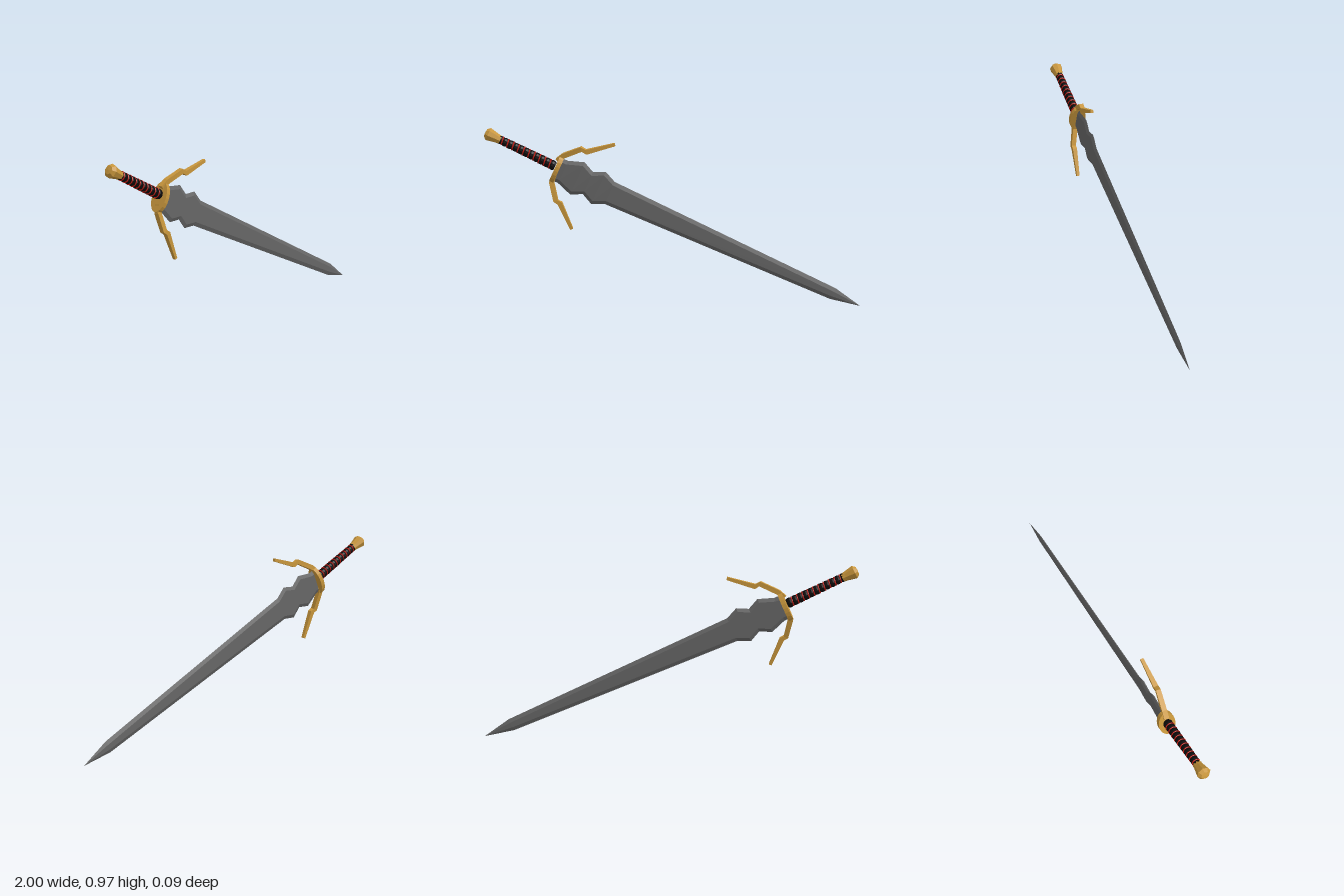
import * as THREE from 'three';

const mat = (color) => new THREE.MeshStandardMaterial({ color, flatShading: true, roughness: 0.7, side: THREE.DoubleSide });
const gold = mat(0xc8963c), steel = mat(0x666666), black = mat(0x0c0a0a), red = mat(0xc01c14);

function add(parent, name, geometry, material) {
  const mesh = new THREE.Mesh(geometry, material);
  mesh.name = name;
  parent.add(mesh);
  return mesh;
}

// Skin a list of equal-sized rings of Vector3 and cap both ends.
function loft(rings) {
  const n = rings[0].length, pos = rings.flat().flatMap((p) => [p.x, p.y, p.z]), idx = [];
  for (let i = 0; i < rings.length - 1; i++)
    for (let j = 0; j < n; j++) {
      const a = i * n + j, b = i * n + (j + 1) % n;
      idx.push(a, b, a + n, b, b + n, a + n);
    }
  const last = (rings.length - 1) * n;
  for (let j = 1; j < n - 1; j++) idx.push(0, j + 1, j, last, last + j, last + j + 1);
  const g = new THREE.BufferGeometry();
  g.setAttribute('position', new THREE.Float32BufferAttribute(pos, 3));
  g.setIndex(idx);
  const flat = g.toNonIndexed();
  flat.computeVertexNormals();
  return flat;
}

// Six-sided blade section: flat faces with a bevel toward each edge.
function bladeRing([u, w]) {
  const inner = Math.max(w - 0.02, 0), t = w > 0 ? 0.009 : 0;
  return [[w, 0], [inner, t], [-inner, t], [-w, 0], [-inner, -t], [inner, -t]]
    .map(([v, z]) => new THREE.Vector3(u, v, z));
}

// Tapered square bar following a bent path.
function bar(points, widths) {
  const p = points.map((q) => new THREE.Vector3(...q));
  return loft(p.map((c, i) => {
    const d = p[Math.min(i + 1, p.length - 1)].clone().sub(p[Math.max(i - 1, 0)]).normalize();
    const side = new THREE.Vector3(-d.y, d.x, 0).normalize();
    const up = d.clone().cross(side), h = widths[i] / 2;
    return [[1, 1], [-1, 1], [-1, -1], [1, -1]].map(([a, b]) =>
      c.clone().addScaledVector(side, a * h).addScaledVector(up, b * h));
  }));
}

export function createModel() {
  const model = new THREE.Group();
  model.name = 'sword';

  // Blade and guard share a frame with +x toward the tip
  const bladeGroup = new THREE.Group();
  bladeGroup.name = 'bladeAndGuard';
  bladeGroup.position.set(-0.625, 0.752, 0);
  bladeGroup.rotation.set(0, -0.0134, -0.4335, 'ZYX');
  model.add(bladeGroup);

  const stations = [[0, 0.067], [0.035, 0.067], [0.118, 0.097], [0.18, 0.067], [0.24, 0.097],
    [0.305, 0.067], [1.625, 0.034], [1.79, 0]];
  add(bladeGroup, 'blade', loft(stations.map(bladeRing)), steel);

  const disc = new THREE.CylinderGeometry(1, 1, 0.024, 20).rotateZ(Math.PI / 2).scale(1, 0.079, 0.045);
  add(bladeGroup, 'guardDisc', disc, gold);

  // Kinked guard arms
  const arms = new THREE.Group();
  arms.name = 'guardArms';
  model.add(arms);
  const w = [0.026, 0.026, 0.025, 0.025, 0.016];
  add(arms, 'upperArm', bar([[-0.62, 0.8, 0], [-0.585, 0.828, 0.006], [-0.49, 0.868, 0.024],
    [-0.465, 0.853, 0.025], [-0.315, 0.894, 0.027]], w), gold);
  add(arms, 'lowerArm', bar([[-0.64, 0.72, 0], [-0.653, 0.68, 0.006], [-0.632, 0.585, 0.024],
    [-0.61, 0.572, 0.025], [-0.551, 0.43, 0.027]], w), gold);

  // Grip frame: +y toward the pommel
  const grip = new THREE.Group();
  grip.name = 'grip';
  grip.position.set(-0.634, 0.768, 0);
  grip.rotation.z = Math.PI / 2 - 0.464;
  model.add(grip);

  // Scalloped wrap with a red cord in each groove
  const turns = 11, length = 0.335, step = length / turns;
  const radius = (y) => 0.027 - 0.004 * y / length;
  const profile = [new THREE.Vector2(0, 0)];
  for (let i = 0; i <= turns * 3; i++) {
    const y = i * step / 3;
    profile.push(new THREE.Vector2(radius(y) - (i % 3 ? 0 : 0.004), y));
  }
  profile.push(new THREE.Vector2(0, length));
  add(grip, 'gripWrap', new THREE.LatheGeometry(profile, 12).scale(1, 1, 0.93), black);
  for (let i = 1; i < turns; i++) {
    const y = i * step;
    const cord = add(grip, 'gripCord', new THREE.TorusGeometry(radius(y) - 0.002, 0.0035, 5, 14), red);
    cord.position.y = y;
    cord.rotation.x = Math.PI / 2;
    cord.rotation.y = 0.12;
    cord.scale.y = 0.93;
  }

  // Faceted pommel flaring toward its end
  const pommel = [[0, 0.316], [0.023, 0.316], [0.025, 0.335], [0.036, 0.386], [0.022, 0.402], [0, 0.404]]
    .map(([r, y]) => new THREE.Vector2(r, y));
  add(grip, 'pommel', new THREE.LatheGeometry(pommel, 8), gold);

  return model;
}
